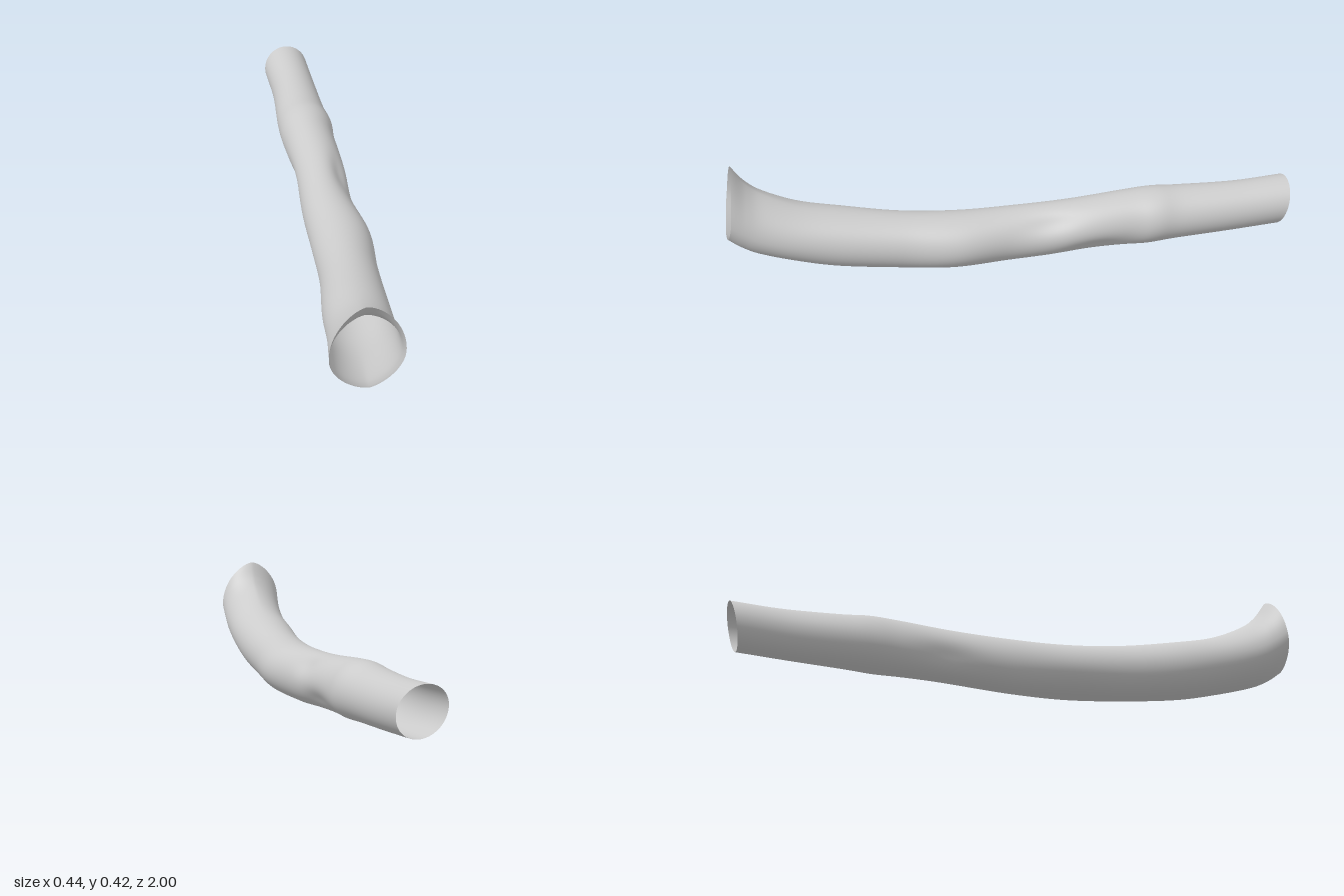
import * as THREE from 'three';

// Cross-sections from back to front: z, left x, right x, bottom y, widest y, top y
const stations = [
  [-0.98, 0.04, 0.215, 0.075, 0.165, 0.25],
  [-0.8, 0.03, 0.205, 0.062, 0.152, 0.24],
  [-0.6, 0.0, 0.195, 0.047, 0.142, 0.237],
  [-0.5, -0.01, 0.196, 0.04, 0.14, 0.243],
  [-0.4, -0.013, 0.18, 0.035, 0.135, 0.236],
  [-0.2, -0.025, 0.166, 0.024, 0.12, 0.216],
  [0, -0.05, 0.14, 0.004, 0.102, 0.2],
  [0.2, -0.07, 0.147, 0.006, 0.1, 0.199],
  [0.4, -0.095, 0.112, 0.012, 0.11, 0.208],
  [0.6, -0.14, 0.085, 0.028, 0.13, 0.232],
  [0.75, -0.165, 0.063, 0.056, 0.158, 0.262],
  [0.87, -0.192, 0.042, 0.085, 0.19, 0.312],
  [0.93, -0.207, 0.031, 0.112, 0.222, 0.357],
  [0.975, -0.22, 0.024, 0.145, 0.257, 0.42],
];

// Soft dents: z, angle around the section, depth
const dents = [
  [-0.12, 0.75, 0.014],
  [-0.3, -0.6, 0.012],
  [-0.25, 3.5, 0.01],
];

function rail(pick) {
  const points = stations.map((s) => new THREE.Vector3(...pick(s)));
  return new THREE.CatmullRomCurve3(points, false, 'catmullrom', 0.5);
}

function dentAt(z, a) {
  let sum = 0;
  for (const [dz, da, depth] of dents) {
    const turn = Math.atan2(Math.sin(a - da), Math.cos(a - da));
    sum += depth * Math.exp(-(((z - dz) / 0.1) ** 2) - (turn / 0.45) ** 2);
  }
  return sum;
}

function tubeGeometry(rings, sides) {
  const widths = rail(([z, l, r]) => [l, r, z]);
  const heights = rail(([z, , , b, m, t]) => [b, m, t]);
  const positions = [];
  const index = [];
  for (let i = 0; i <= rings; i++) {
    const w = widths.getPoint(i / rings);
    const h = heights.getPoint(i / rings);
    // The section turns from oval to slightly pointed at the flared mouth
    const power = 1 + 0.3 * THREE.MathUtils.smoothstep(w.z, 0.6, 0.97);
    for (let j = 0; j < sides; j++) {
      const a = (j / sides) * Math.PI * 2;
      const c = Math.cos(a);
      const s = Math.sin(a);
      const dent = dentAt(w.z, a);
      const rx = (w.y - w.x) / 2 - dent;
      const ry = (s > 0 ? h.z - h.y : h.y - h.x) - dent;
      positions.push(
        (w.x + w.y) / 2 + rx * Math.sign(c) * Math.abs(c) ** power,
        h.y + ry * s,
        w.z - 0.022 * s,
      );
      if (i < rings) {
        const k = (j + 1) % sides;
        const p = i * sides;
        const q = p + sides;
        index.push(p + j, p + k, q + k, p + j, q + k, q + j);
      }
    }
  }
  const geometry = new THREE.BufferGeometry();
  geometry.setAttribute('position', new THREE.Float32BufferAttribute(positions, 3));
  geometry.setIndex(index);
  geometry.computeVertexNormals();
  return geometry;
}

export function createModel() {
  const group = new THREE.Group();
  group.name = 'hollowTube';
  const material = new THREE.MeshStandardMaterial({ color: 0xcccccc, side: THREE.DoubleSide });
  // Thin open-ended wall
  const wall = new THREE.Mesh(tubeGeometry(130, 64), material);
  wall.name = 'tubeWall';
  group.add(wall);
  return group;
}
